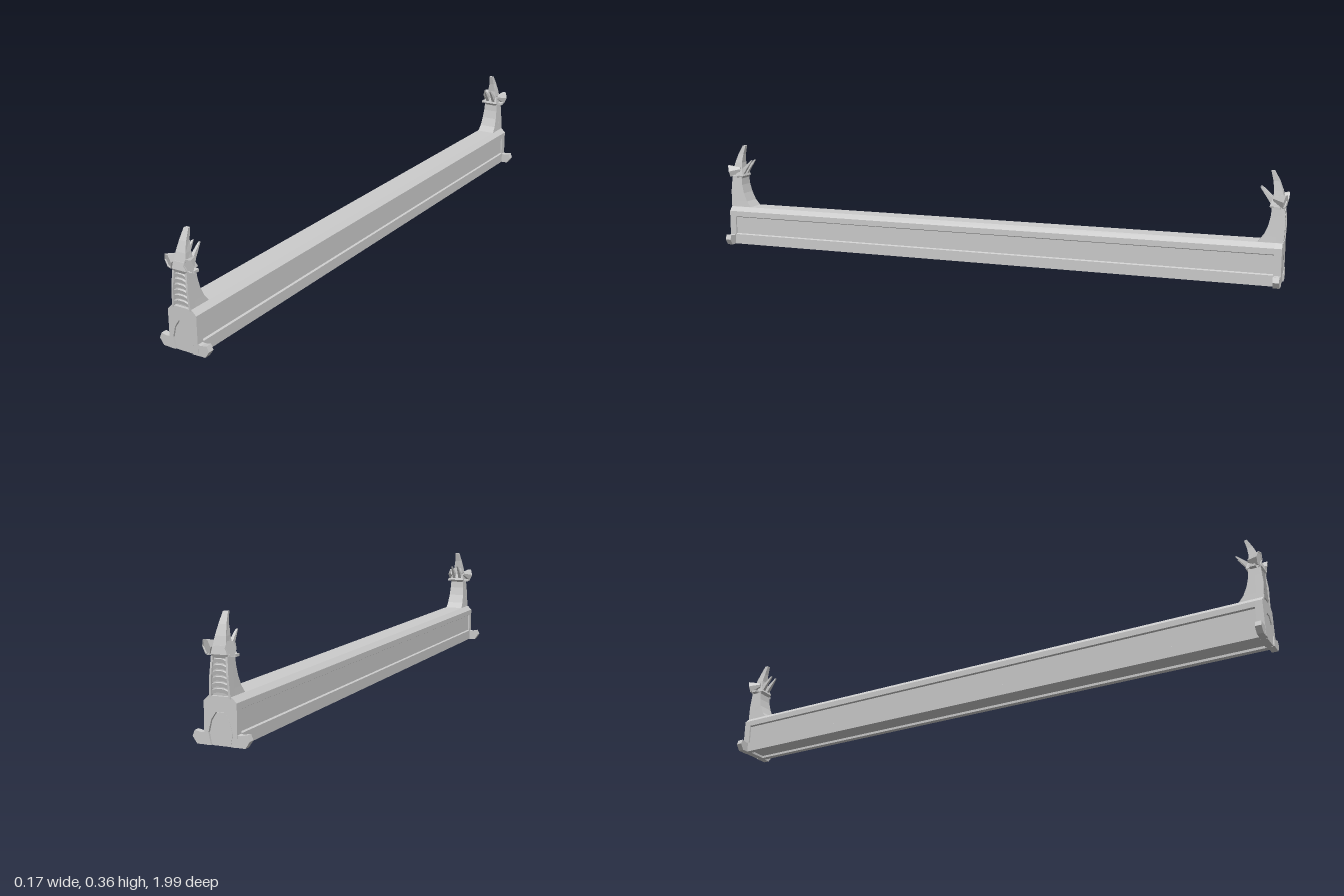
import * as THREE from 'three';

const mat = new THREE.MeshStandardMaterial({ color: 0xcccccc, flatShading: true, side: THREE.DoubleSide });

function add(parent, name, geo) {
  const m = new THREE.Mesh(geo, mat);
  m.name = name;
  parent.add(m);
  return m;
}

// Extrudes half an outline (mirrored in x) along z
function extrudeMirrored(half, z0, z1) {
  const pts = [...half, ...half.map(([x, y]) => [-x, y]).reverse()];
  const shape = new THREE.Shape(pts.map(p => new THREE.Vector2(...p)));
  const g = new THREE.ExtrudeGeometry(shape, { depth: z1 - z0, bevelEnabled: false });
  return g.translate(0, 0, z0);
}

// Lofts rectangular sections: [y, back half width, front half width, back z, front z]
function loft(sections) {
  const pos = [], idx = [];
  for (const [y, wb, wf, zb, zf] of sections)
    pos.push(-wf, y, zf, wf, y, zf, wb, y, zb, -wb, y, zb);
  const n = sections.length;
  for (let i = 0; i < n - 1; i++)
    for (let k = 0; k < 4; k++) {
      const a = i * 4 + k, b = i * 4 + (k + 1) % 4;
      idx.push(a, b, b + 4, a, b + 4, a + 4);
    }
  const t = (n - 1) * 4;
  idx.push(0, 2, 1, 0, 3, 2, t, t + 1, t + 2, t, t + 2, t + 3);
  const g = new THREE.BufferGeometry();
  g.setAttribute('position', new THREE.Float32BufferAttribute(pos, 3));
  g.setIndex(idx);
  const flat = g.toNonIndexed();
  flat.computeVertexNormals();
  return flat;
}

function createEnd() {
  const end = new THREE.Group();

  // End block with an arched recess
  const arch = [[0.03, 0], [0.037, 0.035], [0.028, 0.07], [0.013, 0.092]];
  add(end, 'endBlock', extrudeMirrored(
    [...arch.slice().reverse(), [0.05, 0], [0.05, 0.12], [0.035, 0.135]], 0.962, 0.986));
  add(end, 'archPanel', extrudeMirrored(arch.map(([x, y]) => [x * 0.93, y * 0.98]), 0.962, 0.983));
  add(end, 'archBacking', extrudeMirrored(arch, 0.96, 0.977));

  // Feet
  for (const s of [1, -1]) {
    const foot = new THREE.Shape([[0.045, 0], [0.073, 0], [0.087, 0.02], [0.08, 0.037], [0.06, 0.033], [0.045, 0.035]]
      .map(([x, y]) => new THREE.Vector2(x * s, y)));
    add(end, 'foot', new THREE.ExtrudeGeometry(foot, { depth: 0.02, bevelEnabled: false }).translate(0, 0, 0.965));
  }

  // Curved neck with a raised rail on each side of the chest
  add(end, 'neck', loft([
    [0.13, 0.033, 0.033, 0.905, 0.976], [0.155, 0.031, 0.031, 0.925, 0.978],
    [0.185, 0.029, 0.029, 0.938, 0.98], [0.215, 0.027, 0.027, 0.945, 0.981],
    [0.25, 0.025, 0.025, 0.948, 0.978]]));
  for (const s of [1, -1]) {
    const rail = loft([[0.13, 0.003, 0.003, 0.965, 0.987], [0.19, 0.003, 0.003, 0.965, 0.99],
      [0.242, 0.003, 0.003, 0.965, 0.986]]);
    const p = rail.attributes.position;
    for (let i = 0; i < p.count; i++)
      p.setX(i, p.getX(i) + s * (0.03 - (p.getY(i) - 0.13) * 0.07));
    rail.computeVertexNormals();
    add(end, 'neckRail', rail);
  }

  // Overlapping chest scales
  for (let i = 0; i < 6; i++) {
    const y = 0.142 + i * 0.016, w = 0.027 - i * 0.0012;
    const scale = extrudeMirrored([[0.01, 0.004], [w, -0.002], [w, 0.009], [0.01, 0.015]], 0, 0.006);
    const m = add(end, 'chestScale', scale);
    m.position.set(0, y, 0.978);
    m.rotation.x = 0.25;
  }

  // Head and its tall pointed crest
  add(end, 'head', loft([
    [0.237, 0.022, 0.022, 0.948, 0.984], [0.247, 0.027, 0.024, 0.94, 0.989],
    [0.27, 0.021, 0.02, 0.948, 0.985]]));
  add(end, 'crest', loft([
    [0.262, 0.02, 0.021, 0.948, 0.985], [0.295, 0.015, 0.017, 0.951, 0.977],
    [0.325, 0.009, 0.012, 0.947, 0.966], [0.357, 0.006, 0.008, 0.939, 0.949]]));

  for (const s of [1, -1]) {
    // Flared six-sided ears with an inset floor
    const ear = new THREE.Group();
    ear.name = 'ear';
    const cup = (r0, r1, h, open) => new THREE.CylinderGeometry(r1, r0, h, 6, 1, open, Math.PI / 6)
      .rotateX(Math.PI / 2).scale(0.62, 0.95, 1);
    add(ear, 'earShell', cup(0.008, 0.026, 0.04, true));
    add(ear, 'earInside', cup(0.008, 0.0225, 0.032, false));
    const rim = new THREE.RingGeometry(0.0215, 0.026, 6, 1).scale(0.62, 0.95, 1).translate(0, 0, 0.02);
    add(ear, 'earRim', rim);
    ear.position.set(s * 0.031, 0.269, 0.97);
    ear.lookAt(s * 0.037, 0.265, 0.99);
    end.add(ear);
    add(end, 'earRoot', new THREE.BoxGeometry(0.016, 0.008, 0.02).translate(s * 0.035, 0.245, 0.965));

    // Horns sweeping back over the beam
    const horn = loft([[0.252, 0.006, 0.007, 0.944, 0.962], [0.275, 0.005, 0.006, 0.929, 0.946],
      [0.305, 0.002, 0.003, 0.908, 0.913]]);
    add(end, 'horn', horn.translate(s * 0.012, 0, 0));
  }
  return end;
}

export function createModel() {
  const model = new THREE.Group();

  // Long beam with chamfered top, recessed side panels and a shallow underside channel
  add(model, 'beam', extrudeMirrored([
    [0.032, 0.008], [0.032, 0], [0.05, 0], [0.05, 0.035], [0.044, 0.038],
    [0.044, 0.098], [0.05, 0.101], [0.05, 0.12], [0.035, 0.135]], -0.964, 0.964));

  // Matching ornament at each end
  for (const [name, turn] of [['frontEnd', 0], ['backEnd', Math.PI]]) {
    const end = createEnd();
    end.name = name;
    end.rotation.y = turn;
    model.add(end);
  }
  return model;
}
